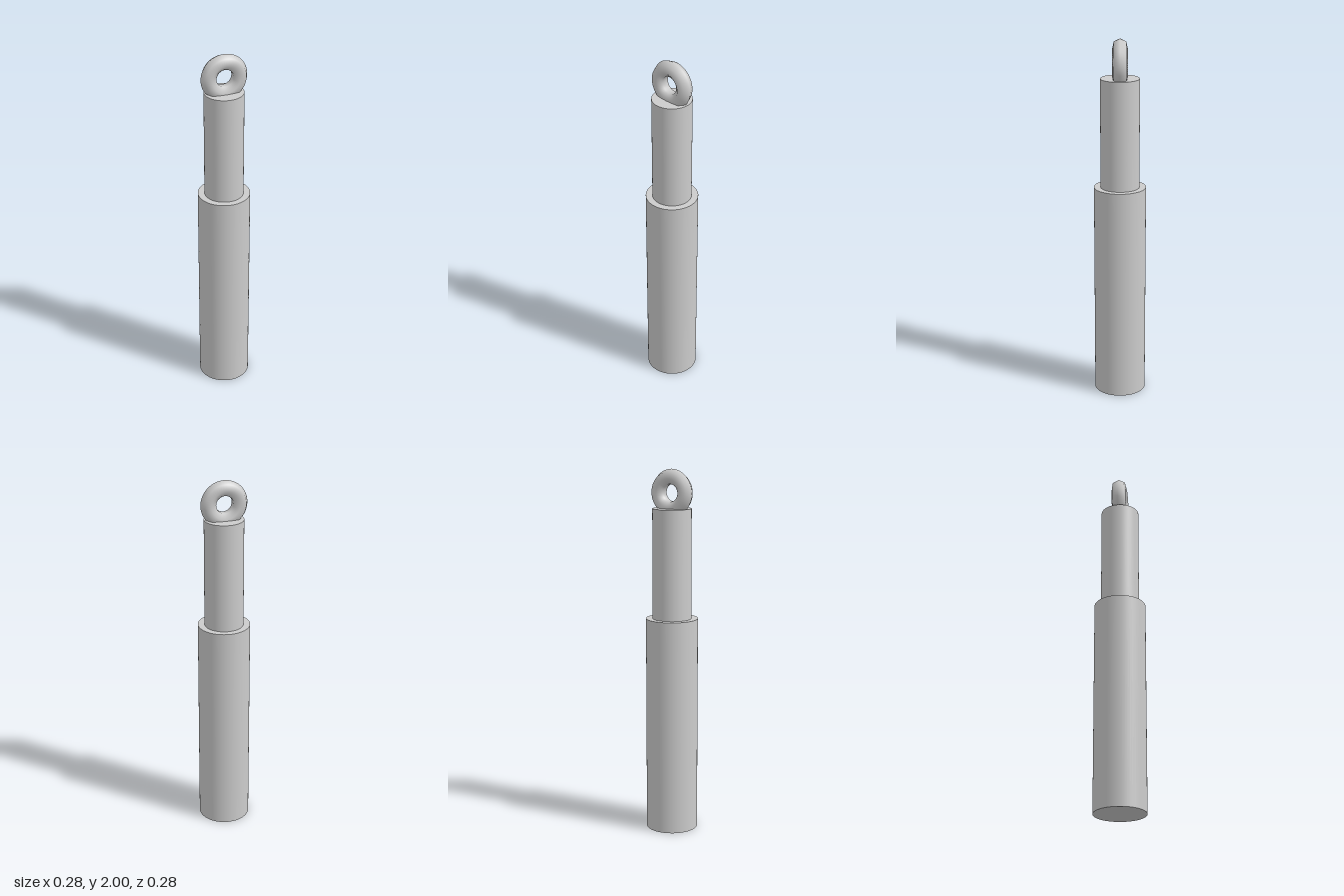
import * as THREE from 'three';

export function createModel() {
  const group = new THREE.Group();
  const material = new THREE.MeshStandardMaterial({ color: 0xcccccc });

  function add(name, geometry, y) {
    const mesh = new THREE.Mesh(geometry, material);
    mesh.name = name;
    mesh.position.y = y;
    group.add(mesh);
  }
  function post(name, radius, bottom, top) {
    add(name, new THREE.CylinderGeometry(radius, radius, top - bottom, 64), (top + bottom) / 2);
  }

  // Two stepped round sections, the upper one seated on the lower
  post('lowerTube', 0.142, 0, 1.192);
  post('upperTube', 0.106, 1.192, 1.79);

  // Hanging ring, sunk slightly into the upper section, with a seven-sided section
  add('ringEye', new THREE.TorusGeometry(0.085, 0.042, 7, 48), 1.873);

  return group;
}
